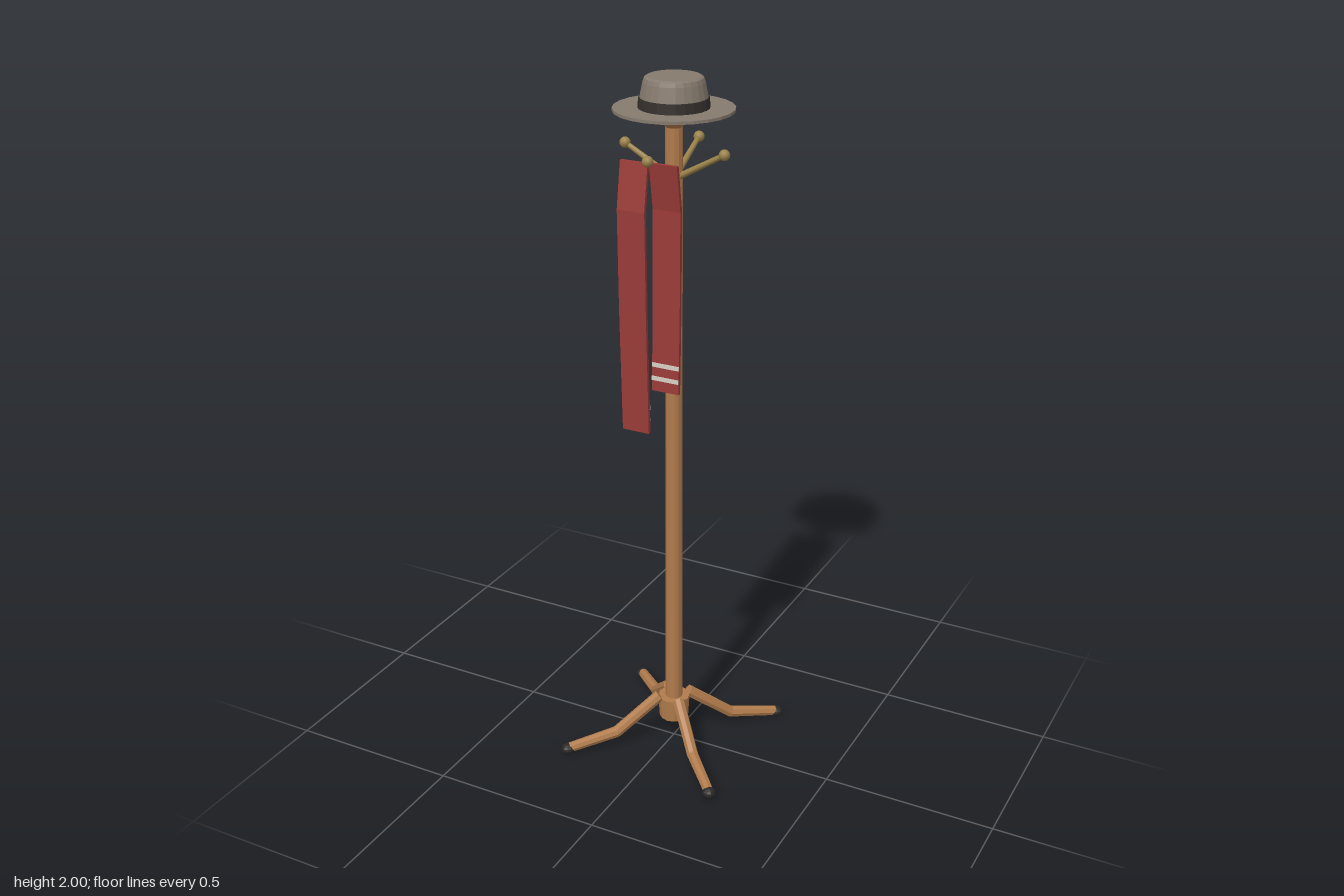
import * as THREE from 'three';

const material = (color, flat = true) => {
  const m = new THREE.MeshStandardMaterial({ color });
  m.flatShading = flat;
  return m;
};
const wood = material(0xb07b4c), brass = material(0x9a8148, false), rubber = material(0x2a2826);
const felt = material(0x857a6e), ribbon = material(0x35302c);
const wool = material(0x9a3b38), cream = material(0xd8d0c4);

function add(parent, name, geometry, mat) {
  const mesh = new THREE.Mesh(geometry, mat);
  mesh.name = name;
  parent.add(mesh);
  return mesh;
}

const lathe = (points, sides) =>
  new THREE.LatheGeometry(points.map(([r, y]) => new THREE.Vector2(r, y)), sides);

// Straight rod between two points [x, y] in the local x-y plane
function rod(parent, name, a, b, rA, rB, sides, mat) {
  const from = new THREE.Vector3(a[0], a[1], 0), to = new THREE.Vector3(b[0], b[1], 0);
  const dir = to.clone().sub(from);
  const mesh = add(parent, name, new THREE.CylinderGeometry(rB, rA, dir.length(), sides), mat);
  mesh.position.copy(from).add(to).multiplyScalar(0.5);
  mesh.quaternion.setFromUnitVectors(new THREE.Vector3(0, 1, 0), dir.normalize());
}

function makeLeg() {
  const leg = new THREE.Group();
  leg.name = 'leg';
  const hip = [0.045, 0.147], knee = [0.18, 0.045], foot = [0.325, 0.019];
  rod(leg, 'upperLeg', hip, knee, 0.018, 0.017, 8, wood);
  rod(leg, 'lowerLeg', knee, foot, 0.017, 0.015, 8, wood);
  add(leg, 'legBend', new THREE.SphereGeometry(0.017, 8, 6), wood).position.set(...knee, 0);
  const tip = add(leg, 'footTip', new THREE.SphereGeometry(0.02, 10, 8), rubber);
  tip.scale.y = 0.8;
  tip.position.set(0.331, 0.016, 0);
  return leg;
}

function makeHook() {
  const hook = new THREE.Group();
  hook.name = 'hook';
  rod(hook, 'hookArm', [0.015, 1.738], [0.145, 1.81], 0.009, 0.007, 8, brass);
  add(hook, 'hookBall', new THREE.SphereGeometry(0.015, 12, 8), brass).position.set(0.145, 1.81, 0);
  return hook;
}

function makeHat() {
  const hat = new THREE.Group();
  hat.name = 'hat';
  add(hat, 'brim', new THREE.CylinderGeometry(0.16, 0.16, 0.008, 24), felt).position.y = 1.915;
  add(hat, 'hatBand', new THREE.CylinderGeometry(0.092, 0.094, 0.028, 24), ribbon).position.y = 1.932;
  add(hat, 'crown', lathe([[0.09, 1.918], [0.089, 1.946], [0.081, 1.985], [0.077, 1.996], [0.07, 2], [0, 2]], 24), felt);
  return hat;
}

// Hanging half of the scarf: the profile lists [z, y] along its centre line
function makeScarfHalf(name, profile, xMin, inward) {
  const half = new THREE.Group(), t = 0.005, width = 0.08;
  half.name = name;
  const edge = s => profile.map(([z, y]) => new THREE.Vector2(z + s * t, y));
  const shape = new THREE.Shape([...edge(-1), ...edge(1).reverse()]);
  const cloth = new THREE.ExtrudeGeometry(shape, { depth: width, bevelEnabled: false });
  cloth.rotateY(-Math.PI / 2).translate(xMin + width, 0, 0);
  add(half, 'cloth', cloth, wool);

  // Two woven stripes on the inner face near the end
  const [[z1, y1], [z0, y0]] = profile.slice(-2);
  for (const lift of [0.036, 0.074]) {
    const z = z0 + (z1 - z0) * lift / (y1 - y0);
    const stripe = add(half, 'stripe', new THREE.BoxGeometry(width, 0.012, 0.004), cream);
    stripe.position.set(xMin + width / 2, y0 + lift, z + inward * t);
  }
  return half;
}

export function createModel() {
  const model = new THREE.Group();
  model.name = 'coatStand';

  // Post with hub and cap
  add(model, 'post', new THREE.CylinderGeometry(0.023, 0.025, 1.8, 12), wood).position.y = 1.0;
  add(model, 'hub', new THREE.CylinderGeometry(0.047, 0.043, 0.07, 12), wood).position.y = 0.107;
  add(model, 'postCap', lathe([[0.023, 1.868], [0.034, 1.88], [0.034, 1.913], [0, 1.913]], 12), wood);

  // Legs on the diagonals, hooks on the axes
  for (let i = 0; i < 4; i++) {
    const leg = makeLeg(), hook = makeHook();
    leg.rotation.y = (i + 0.5) * Math.PI / 2;
    hook.rotation.y = i * Math.PI / 2;
    model.add(leg, hook);
  }

  model.add(makeHat());

  // Scarf over the front hook
  const scarf = new THREE.Group();
  scarf.name = 'scarf';
  scarf.add(
    makeScarfHalf('scarfFront', [[0.14, 1.805], [0.16, 1.68], [0.155, 1.4], [0.143, 1.058]], -0.08, -1),
    makeScarfHalf('scarfBack', [[0.134, 1.805], [0.114, 1.68], [0.117, 1.4], [0.124, 1.18]], 0, 1)
  );
  model.add(scarf);
  return model;
}
